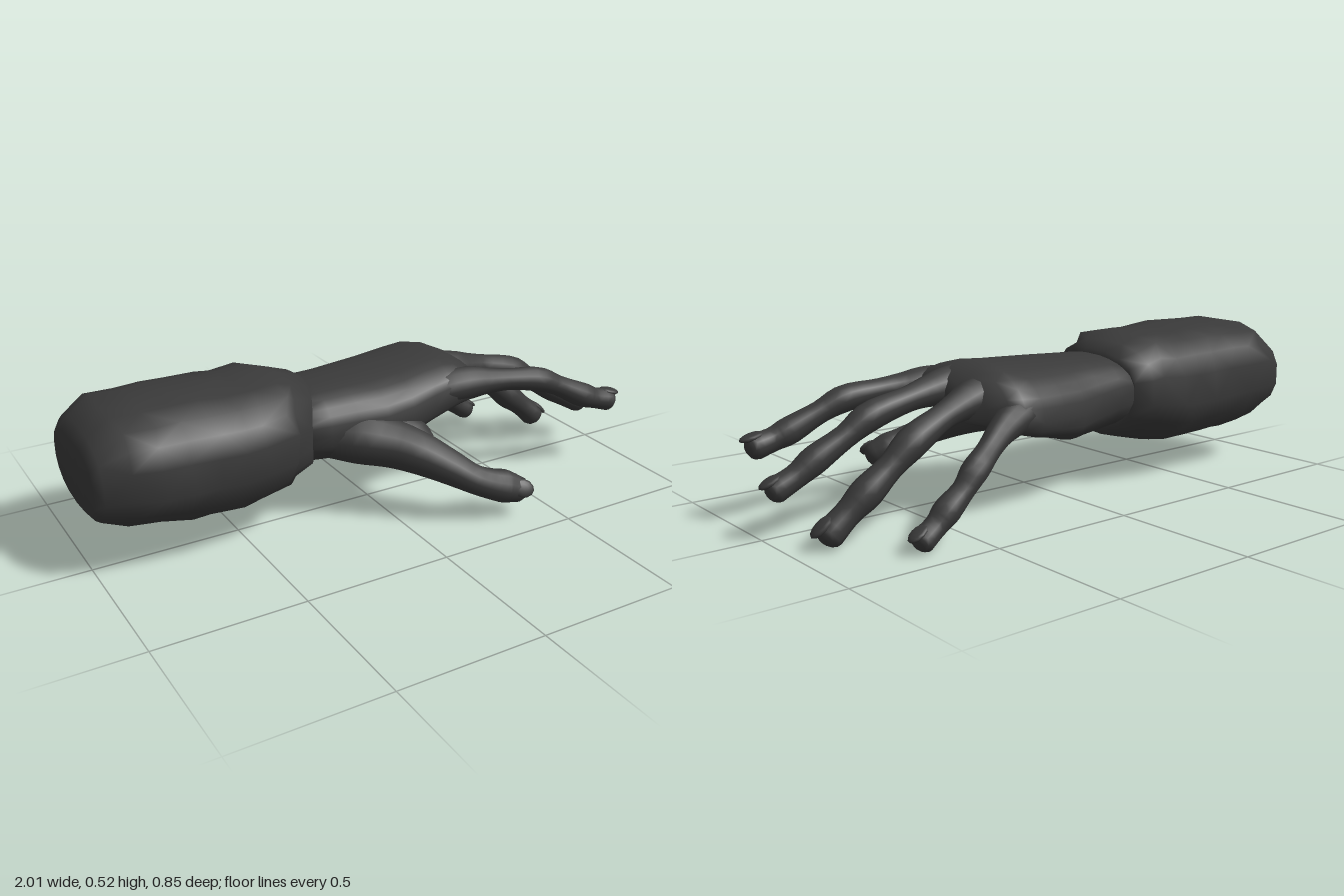
import * as THREE from 'three';

const V = (x, y, z) => new THREE.Vector3(x, y, z);
const dark = new THREE.MeshStandardMaterial({ color: 0x3a3a3a });
const power = (v, e) => Math.sign(v) * Math.abs(v) ** e;

// Skin a list of closed rings that run y -> z around the direction of travel
function loft(rings) {
  const n = rings[0].length, pos = [], idx = [];
  rings.forEach(r => r.forEach(p => pos.push(p.x, p.y, p.z)));
  for (let i = 0; i < rings.length - 1; i++) {
    for (let j = 0; j < n; j++) {
      const a = i * n + j, b = i * n + (j + 1) % n;
      // Alternate the diagonals so facets do not all lean one way
      if ((i + j) % 2) idx.push(a, b, a + n, b, b + n, a + n);
      else idx.push(a, b, b + n, a, b + n, a + n);
    }
  }
  // End caps
  [0, rings.length - 1].forEach((r, end) => {
    const c = rings[r].reduce((s, p) => s.add(p), V(0, 0, 0)).divideScalar(n);
    const k = pos.length / 3;
    pos.push(c.x, c.y, c.z);
    for (let j = 0; j < n; j++) {
      const a = r * n + j, b = r * n + (j + 1) % n;
      idx.push(k, ...(end ? [a, b] : [b, a]));
    }
  });
  const g = new THREE.BufferGeometry();
  g.setAttribute('position', new THREE.Float32BufferAttribute(pos, 3));
  g.setIndex(idx);
  g.computeVertexNormals();
  return g;
}

function named(geometry, name) {
  const m = new THREE.Mesh(geometry, dark);
  m.name = name;
  return m;
}

function frame(T, up) {
  const S = T.clone().cross(up).normalize();
  return { S, U: S.clone().cross(T).normalize() };
}

// Finger: rows of [x, y, z, radius], rounded at the tip, with a nail on top
function finger(name, rows, up = V(0, 1, 0)) {
  const group = new THREE.Group();
  group.name = name;
  const curve = new THREE.CatmullRomCurve3(rows.map(r => V(r[0], r[1], r[2])));
  const radii = new THREE.CatmullRomCurve3(rows.map((r, i) => V(i, r[3], 0)));
  const steps = 30, sides = 12, rings = [];
  const ring = (p, T, r) => {
    const { S, U } = frame(T, up);
    return Array.from({ length: sides }, (_, j) => {
      const a = j / sides * Math.PI * 2;
      return p.clone().addScaledVector(U, r * Math.cos(a)).addScaledVector(S, r * Math.sin(a));
    });
  };
  for (let i = 0; i <= steps; i++) {
    const t = i / steps;
    rings.push(ring(curve.getPoint(t), curve.getTangent(t), radii.getPoint(t).y));
  }
  const tip = curve.getPoint(1), T = curve.getTangent(1), r = rows.at(-1)[3];
  for (const a of [0.4, 0.8, 1.2, 1.45]) {
    rings.push(ring(tip.clone().addScaledVector(T, r * 0.75 * Math.sin(a)), T, r * Math.cos(a)));
  }
  group.add(named(loft(rings), name + 'Flesh'));

  const { S, U } = frame(T, up);
  const nail = named(new THREE.SphereGeometry(1, 12, 8), name + 'Nail');
  nail.quaternion.setFromRotationMatrix(new THREE.Matrix4().makeBasis(T, U, S));
  nail.scale.set(r * 0.95, r * 0.28, r * 0.7);
  nail.position.copy(tip).addScaledVector(U, r * 0.76).addScaledVector(T, r * 0.05);
  group.add(nail);
  return group;
}

// Palm: rows of [x, zMin, zMax, top, bottom], hollow beneath, drooping to the outer edge
function palm() {
  const rows = [
    [-0.32, -0.26, 0.10, 0.44, 0.20], [-0.2, -0.28, 0.12, 0.45, 0.19],
    [-0.1, -0.29, 0.13, 0.455, 0.182], [0, -0.315, 0.15, 0.46, 0.18],
    [0.1, -0.33, 0.15, 0.465, 0.21], [0.2, -0.345, 0.13, 0.472, 0.24],
    [0.27, -0.345, 0.125, 0.478, 0.265], [0.315, -0.32, 0.125, 0.473, 0.285],
    [0.355, -0.255, 0.125, 0.458, 0.302], [0.385, -0.225, 0.115, 0.437, 0.318],
    [0.405, -0.18, 0.1, 0.41, 0.34],
  ];
  return loft(rows.map(([x, z0, z1, top, bot]) => Array.from({ length: 28 }, (_, j) => {
    const a = j / 28 * Math.PI * 2, f = THREE.MathUtils.clamp((x + 0.2) / 0.45, 0, 1);
    const c = power(Math.cos(a), Math.cos(a) > 0 ? 0.85 - 0.2 * f : 0.85), s = power(Math.sin(a), 0.85);
    const droop = f * (s < 0 ? 0.06 : 0.015) * s * s;
    const hollow = c < 0 ? f * 0.02 * (1 - s * s) : 0;
    return V(x, (top + bot) / 2 + c * (top - bot) / 2 - droop + hollow, (z0 + z1) / 2 + s * (z1 - z0) / 2);
  })));
}

// Sleeve: rows of [x, zMin, zMax, top, bottom], crumpled, with a notched cuff
function sleeve() {
  let seed = 11;
  const rand = () => (seed = (seed * 16807) % 2147483647) / 2147483647 - 0.5;
  const rows = [
    [-1, -0.285, 0.11, 0.42, 0.2], [-0.975, -0.315, 0.14, 0.46, 0.165],
    [-0.89, -0.338, 0.175, 0.515, 0.132], [-0.8, -0.34, 0.187, 0.518, 0.118],
    [-0.71, -0.338, 0.19, 0.52, 0.11], [-0.62, -0.335, 0.192, 0.518, 0.105],
    [-0.53, -0.335, 0.19, 0.515, 0.1], [-0.45, -0.333, 0.183, 0.512, 0.11],
    [-0.36, -0.33, 0.168, 0.518, 0.128], [-0.28, -0.318, 0.14, 0.49, 0.15],
    [-0.21, -0.295, 0.122, 0.468, 0.18], [-0.235, -0.27, 0.1, 0.43, 0.21],
  ];
  const n = 18;
  return loft(rows.map(([x, z0, z1, top, bot], i) => Array.from({ length: n }, (_, j) => {
    const a = j / n * Math.PI * 2, c = Math.cos(a), s = Math.sin(a);
    const crumple = i > 1 && i < 9 ? 1 : 0, k = 1 + crumple * rand() * 0.065;
    const notch = i > 8 ? 0.065 * Math.abs(s) ** 1.5 * (s > 0 ? 1 : 0.5) : 0;
    return V(x - notch + crumple * rand() * 0.04,
      (top + bot) / 2 + power(c, c > 0 ? 0.7 : 0.9) * k * (top - bot) / 2,
      (z0 + z1) / 2 + power(s, 0.82) * k * (z1 - z0) / 2);
  })));
}

export function createModel() {
  const model = new THREE.Group();
  model.name = 'handWithSleeve';
  model.add(named(sleeve(), 'sleeve'), named(palm(), 'palm'));

  // Four fingers, widening into the palm and swelling at each joint
  model.add(
    finger('indexFinger', [
      [0.16, 0.36, 0.05, 0.045], [0.28, 0.378, 0.066, 0.062], [0.37, 0.384, 0.083, 0.058], [0.44, 0.382, 0.1, 0.045],
      [0.52, 0.376, 0.115, 0.039], [0.63, 0.36, 0.136, 0.045], [0.71, 0.325, 0.15, 0.037], [0.81, 0.275, 0.17, 0.045],
      [0.86, 0.255, 0.178, 0.039], [0.918, 0.24, 0.183, 0.043]]),
    finger('middleFinger', [
      [0.16, 0.37, -0.05, 0.045], [0.28, 0.395, -0.048, 0.068], [0.37, 0.394, -0.047, 0.064], [0.44, 0.386, -0.05, 0.05],
      [0.52, 0.372, -0.055, 0.041], [0.65, 0.335, -0.047, 0.047], [0.73, 0.285, -0.04, 0.038], [0.83, 0.225, -0.027, 0.045],
      [0.89, 0.185, -0.022, 0.038], [0.955, 0.152, -0.015, 0.041]]),
    finger('ringFinger', [
      [0.16, 0.36, -0.15, 0.045], [0.27, 0.378, -0.163, 0.066], [0.355, 0.372, -0.175, 0.062], [0.42, 0.357, -0.188, 0.049],
      [0.49, 0.335, -0.202, 0.042], [0.6, 0.28, -0.21, 0.051], [0.68, 0.215, -0.208, 0.041], [0.76, 0.15, -0.203, 0.05],
      [0.82, 0.1, -0.198, 0.041], [0.88, 0.048, -0.193, 0.046]]),
    finger('littleFinger', [
      [0.12, 0.33, -0.24, 0.045], [0.22, 0.335, -0.278, 0.058], [0.3, 0.315, -0.302, 0.054], [0.36, 0.287, -0.322, 0.044],
      [0.42, 0.25, -0.345, 0.038], [0.49, 0.205, -0.37, 0.043], [0.54, 0.155, -0.378, 0.036], [0.6, 0.105, -0.38, 0.043],
      [0.64, 0.07, -0.382, 0.036], [0.69, 0.038, -0.388, 0.039]]),
  );

  // Thumb with its fleshy base and the web that joins it to the palm
  model.add(finger('thumb', [
    [-0.17, 0.29, 0.03, 0.08], [-0.08, 0.278, 0.08, 0.092], [0.01, 0.256, 0.138, 0.085], [0.08, 0.23, 0.205, 0.075],
    [0.15, 0.192, 0.27, 0.062], [0.22, 0.15, 0.325, 0.051], [0.28, 0.124, 0.345, 0.053],
    [0.33, 0.107, 0.355, 0.057], [0.375, 0.092, 0.372, 0.046]], V(0, 0.5, 1).normalize()));
  // Web rows: [x, y, z, half thickness, half width], leaning down towards the thumb
  model.add(named(loft([
    [-0.06, 0.29, 0.09, 0.06, 0.1], [0.03, 0.285, 0.125, 0.055, 0.1], [0.09, 0.275, 0.145, 0.045, 0.09],
    [0.13, 0.268, 0.16, 0.03, 0.07], [0.155, 0.262, 0.165, 0.012, 0.045],
  ].map(([x, y, z, h, w]) => Array.from({ length: 14 }, (_, j) => {
    const a = j / 14 * Math.PI * 2, u = h * Math.cos(a), s = w * Math.sin(a);
    return V(x, y + u * 0.8 - s * 0.6, z + u * 0.6 + s * 0.8);
  }))), 'thumbWeb'));
  return model;
}
